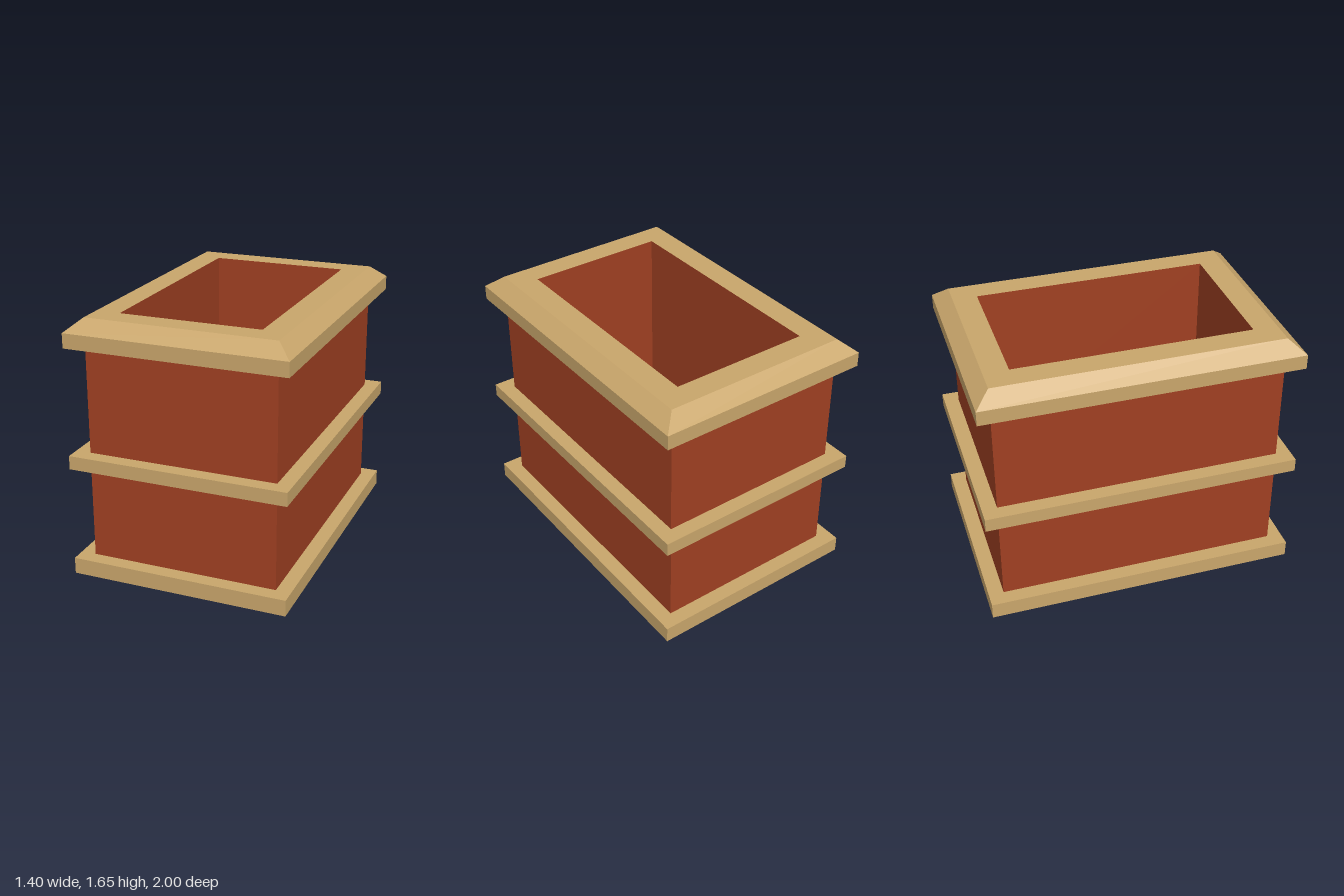
import * as THREE from 'three';

// Half sizes of the shaft; every ring is this rectangle grown or shrunk by d
const HALF_X = 0.603, HALF_Z = 0.905;
const LIP = 0.095, INSET = -0.155;

const stone = new THREE.MeshStandardMaterial({ color: 0xc9a66b, side: THREE.DoubleSide });
stone.name = 'sandstone';
const brick = new THREE.MeshStandardMaterial({ color: 0xa04022, side: THREE.DoubleSide });
brick.name = 'brick red';

// Rectangle corners at offset d and height y, counter-clockwise seen from above
function ring([d, y]) {
  const x = HALF_X + d, z = HALF_Z + d;
  return [[x, y, z], [x, y, -z], [-x, y, -z], [-x, y, z]];
}

// Skin of flat faces between successive rings of a [offset, height] profile
function skin(name, material, profile, capped = false) {
  const positions = [];
  const quad = (a, b, c, d) => positions.push(...a, ...b, ...c, ...a, ...c, ...d);
  const rings = profile.map(ring);
  for (let i = 0; i < rings.length - 1; i++) {
    for (let k = 0; k < 4; k++) {
      const n = (k + 1) % 4;
      quad(rings[i][k], rings[i][n], rings[i + 1][n], rings[i + 1][k]);
    }
  }
  if (capped) quad(...rings[rings.length - 1]);
  const geometry = new THREE.BufferGeometry();
  geometry.setAttribute('position', new THREE.Float32BufferAttribute(positions, 3));
  geometry.computeVertexNormals();
  const mesh = new THREE.Mesh(geometry, material);
  mesh.name = name;
  return mesh;
}

export function createModel() {
  const group = new THREE.Group();
  group.name = 'chimney';
  group.add(
    // Base skirt, open underneath
    skin('basePlinth', stone, [[LIP, 0], [LIP, 0.105], [0, 0.105]]),
    // Brick walls below and above the middle band
    skin('lowerShaft', brick, [[0, 0.105], [0, 0.71]]),
    skin('middleBand', stone, [[0, 0.71], [LIP, 0.71], [LIP, 0.797], [0, 0.797]]),
    skin('upperShaft', brick, [[0, 0.797], [0, 1.477]]),
    // Bevelled cap with its flat rim
    skin('cap', stone, [[0, 1.477], [LIP, 1.477], [LIP, 1.57], [0, 1.65], [INSET, 1.65]]),
    // Sunken flue with a closed floor
    skin('flue', brick, [[INSET, 1.65], [INSET, 0.54]], true),
  );
  return group;
}
